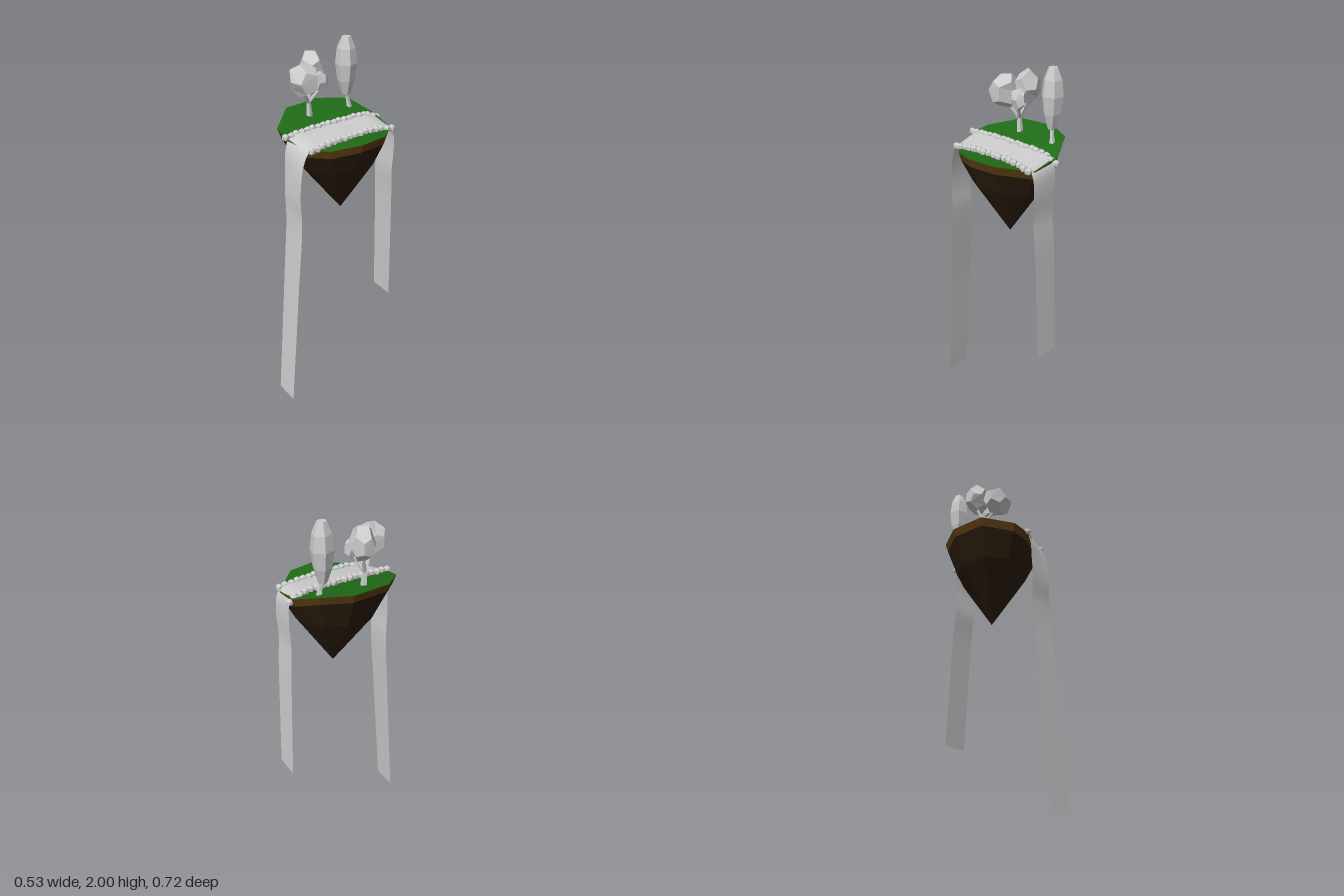
import * as THREE from 'three';
import { mergeVertices } from 'three/addons/utils/BufferGeometryUtils.js';

const V = (x, y, z) => new THREE.Vector3(x, y, z);
const mat = (color = 0xcccccc, flatShading = true, side = THREE.FrontSide) =>
  new THREE.MeshStandardMaterial({ color, flatShading, side });
const grey = mat();

function add(parent, name, geometry, material = grey) {
  const mesh = new THREE.Mesh(geometry, material);
  mesh.name = name;
  parent.add(mesh);
  return mesh;
}

// Grid surface over rows of points; closed rows wrap around
function loft(rows, closed) {
  const n = rows[0].length, index = [];
  for (let r = 0; r + 1 < rows.length; r++) {
    for (let i = 0; i < (closed ? n : n - 1); i++) {
      const a = r * n + i, b = r * n + (i + 1) % n;
      index.push(a, a + n, b + n, a, b + n, b);
    }
  }
  const g = new THREE.BufferGeometry().setFromPoints(rows.flat());
  g.setIndex(index);
  g.computeVertexNormals();
  return g;
}

// Faceted blob with slightly uneven corners
function blob(rx, ry, rz, seed) {
  const g = new THREE.DodecahedronGeometry(1, 0);
  g.deleteAttribute('normal');
  g.deleteAttribute('uv');
  const m = mergeVertices(g), p = m.attributes.position;
  for (let i = 0; i < p.count; i++) {
    const k = 1.02 + 0.12 * Math.sin(i * 12.9 + seed * 7.3);
    p.setXYZ(i, p.getX(i) * k, p.getY(i) * k, p.getZ(i) * k);
  }
  m.rotateY(seed).scale(rx, ry, rz);
  m.computeVertexNormals();
  return m;
}

// Tapered five-sided branch between two points
function branch(parent, name, a, b, r0, r1) {
  const d = b.clone().sub(a);
  const mesh = add(parent, name, new THREE.CylinderGeometry(r1, r0, d.length(), 5));
  mesh.position.copy(a).addScaledVector(d, 0.5);
  mesh.quaternion.setFromUnitVectors(V(0, 1, 0), d.normalize());
}

function createIsland() {
  const island = new THREE.Group();
  island.name = 'island';
  const edge = [
    [-0.265, 1.65, -0.098], [-0.247, 1.645, 0.11], [-0.12, 1.605, 0.247], [-0.02, 1.585, 0.258],
    [0.10, 1.56, 0.225], [0.198, 1.565, 0.137], [0.265, 1.588, -0.003], [0.242, 1.585, -0.17],
    [0.11, 1.56, -0.305], [-0.045, 1.59, -0.315], [-0.188, 1.645, -0.245],
  ].map(p => V(...p));
  const tip = V(0.015, 1.12, -0.055);
  const ring = (k, y) => edge.map(p => V(tip.x + (p.x - tip.x) * k, y(p.y), tip.z + (p.z - tip.z) * k));
  const lower = ring(0.95, y => y - 0.045);
  const centre = edge.map(() => V(0.05, 1.57, -0.03));
  add(island, 'grass', loft([centre, edge], true), mat(0x1f6b17));
  add(island, 'soilRim', loft([edge, lower], true), mat(0x5a3c12));
  const middle = ring(0.73, y => 1.42 + (y - 1.6) * 0.4);
  const end = ring(0.04, () => 1.135);
  add(island, 'rock', loft([lower, middle, end, edge.map(() => tip.clone())], true), mat(0x2a1c0c));
  return island;
}

// River over the top with a waterfall at each end
function createRiver() {
  const left = [
    [-0.015, 0, 0.36], [-0.015, 0.8, 0.30], [-0.015, 1.16, 0.275], [-0.012, 1.3, 0.28],
    [-0.012, 1.42, 0.275], [-0.012, 1.53, 0.268], [-0.015, 1.592, 0.24], [-0.015, 1.605, 0.1],
    [-0.015, 1.608, -0.1], [-0.015, 1.60, -0.27], [-0.02, 1.565, -0.315], [-0.018, 1.45, -0.326],
    [-0.018, 1.3, -0.32], [-0.024, 1.15, -0.33], [-0.03, 0.8, -0.345], [-0.035, 0.46, -0.358],
  ];
  const right = [
    [0.128, 0, 0.36], [0.132, 0.8, 0.30], [0.132, 1.16, 0.272], [0.132, 1.3, 0.278],
    [0.132, 1.42, 0.27], [0.132, 1.51, 0.25], [0.132, 1.565, 0.215], [0.132, 1.582, 0.1],
    [0.125, 1.585, -0.1], [0.13, 1.575, -0.27], [0.13, 1.545, -0.308], [0.13, 1.45, -0.322],
    [0.128, 1.3, -0.316], [0.122, 1.15, -0.328], [0.115, 0.8, -0.343], [0.108, 0.46, -0.357],
  ];
  const [a, b] = [left, right].map(l => new THREE.CatmullRomCurve3(l.map(p => V(...p))));
  const rows = [];
  for (let i = 0; i <= 60; i++) {
    const p = a.getPoint(i / 60), q = b.getPoint(i / 60);
    rows.push([0, 0.25, 0.5, 0.75, 1].map(t => p.clone().lerp(q, t)));
  }
  return loft(rows, false);
}

// Row of stones along a bank
function stoneRow(parent, name, points, count) {
  const row = new THREE.Group();
  row.name = name;
  const curve = new THREE.CatmullRomCurve3(points.map(p => V(...p)));
  const stone = new THREE.IcosahedronGeometry(0.021, 0).rotateZ(-0.5536);
  for (let i = 0; i < count; i++) {
    const s = add(row, 'stone', stone);
    s.position.copy(curve.getPointAt(i / (count - 1)));
    s.position.x += 0.004 * Math.sin(i * 2.3);
    s.rotation.y = i * 1.7;
  }
  parent.add(row);
}

function createRoundTree() {
  const tree = new THREE.Group();
  tree.name = 'roundTree';
  const fork = V(-0.147, 1.69, 0.035);
  branch(tree, 'trunk', V(-0.148, 1.6, 0.03), fork, 0.02, 0.012);
  const crowns = [
    [-0.18, 1.855, 0, 0.076, 0.088, 0.062],
    [-0.11, 1.835, 0.095, 0.09, 0.088, 0.073],
    [-0.095, 1.81, -0.005, 0.03, 0.06, 0.042],
  ];
  crowns.forEach(([x, y, z, rx, ry, rz], i) => {
    branch(tree, 'branch', fork, V(x, y - ry * 0.6, z), 0.011, 0.008);
    add(tree, 'foliage', blob(rx, ry, rz, i + 1)).position.set(x, y, z);
  });
  return tree;
}

function createTallTree() {
  const tree = new THREE.Group();
  tree.name = 'tallTree';
  branch(tree, 'trunk', V(-0.125, 1.6, -0.212), V(-0.128, 1.65, -0.208), 0.02, 0.012);
  branch(tree, 'trunk', V(-0.128, 1.64, -0.208), V(-0.135, 1.72, -0.195), 0.012, 0.01);
  const profile = [[0, 1.68], [0.022, 1.69], [0.048, 1.77], [0.06, 1.86], [0.05, 1.94], [0.024, 2], [0, 2]];
  const g = new THREE.LatheGeometry(profile.map(p => new THREE.Vector2(...p)), 6);
  g.rotateY(0.3).scale(0.95, 1, 1);
  add(tree, 'foliage', g).position.set(-0.135, 0, -0.196);
  return tree;
}

export function createModel() {
  const model = new THREE.Group();
  model.name = 'floatingIsland';
  model.add(createIsland());
  add(model, 'river', createRiver(), mat(0xcccccc, false, THREE.DoubleSide));
  stoneRow(model, 'leftBankStones',
    [[0.14, 1.565, 0.213], [0.14, 1.582, 0.1], [0.137, 1.585, -0.05], [0.132, 1.583, -0.18], [0.14, 1.567, -0.29]], 16);
  stoneRow(model, 'rightBankStones',
    [[-0.022, 1.592, 0.258], [-0.022, 1.603, 0.1], [-0.02, 1.605, -0.1], [-0.022, 1.6, -0.24], [-0.024, 1.568, -0.322]], 19);
  model.add(createRoundTree(), createTallTree());
  return model;
}
